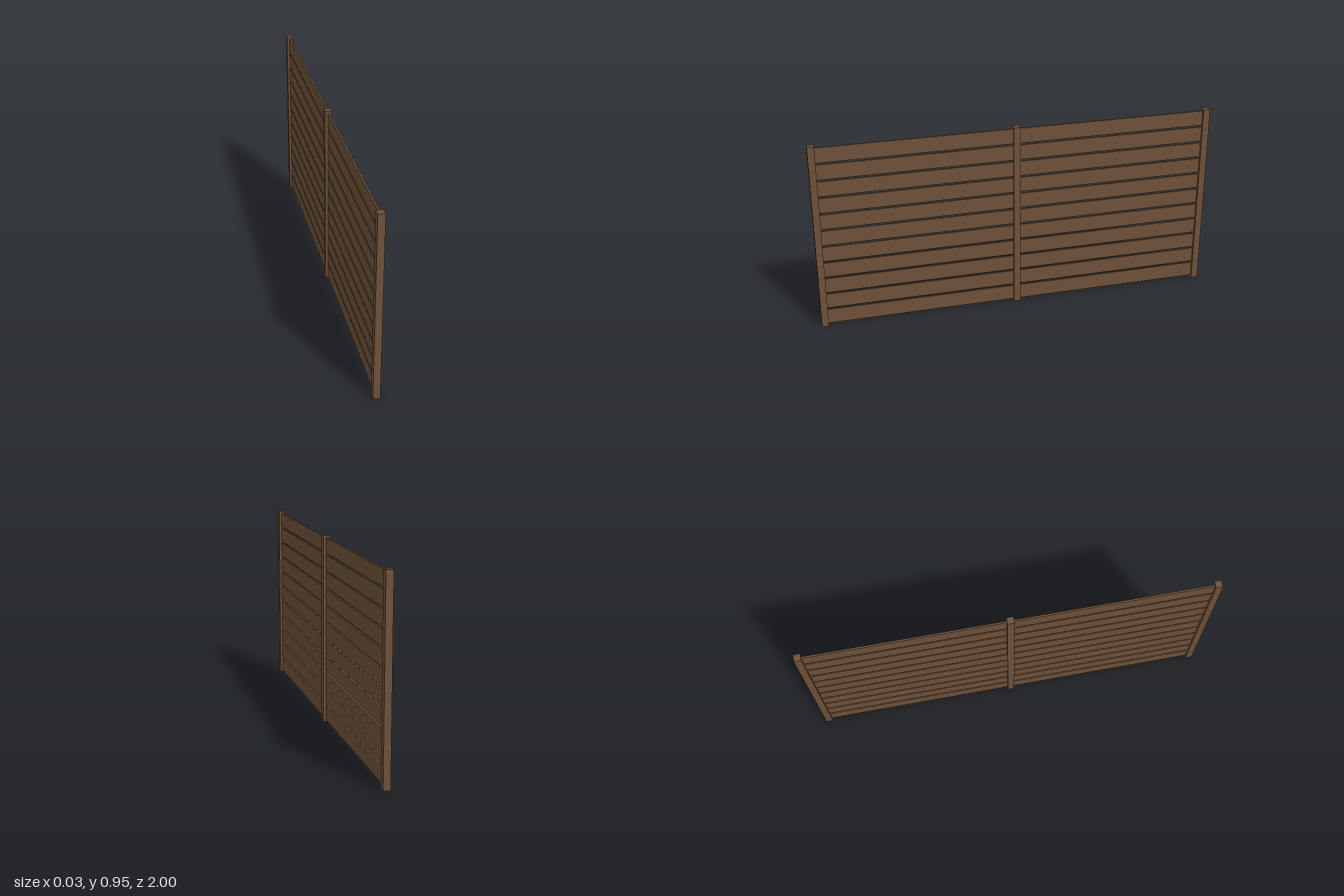
import * as THREE from 'three';

export function createModel() {
  const fence = new THREE.Group();
  fence.name = 'slatFence';

  const wood = new THREE.MeshStandardMaterial({ color: 0x6e5139 });
  wood.name = 'brownWood';

  const post = 0.034, height = 0.95;
  const slats = 11, slatHeight = 0.076, slatDepth = 0.009;
  const bottom = 0.01, top = 0.94;
  const pitch = (top - bottom - slatHeight) / (slats - 1);

  function addBox(parent, name, w, h, d, x, y, z) {
    const mesh = new THREE.Mesh(new THREE.BoxGeometry(w, h, d), wood);
    mesh.name = name;
    mesh.position.set(x, y, z);
    parent.add(mesh);
  }

  // Three square posts along z
  const end = 1 - post / 2;
  [['frontPost', end], ['middlePost', 0], ['backPost', -end]].forEach(([name, z]) =>
    addBox(fence, name, post, height, post, 0, height / 2, z));

  // Two panels of horizontal slats, fitted between the posts
  const length = end - post + 0.008;
  for (const side of [1, -1]) {
    const panel = new THREE.Group();
    panel.name = side > 0 ? 'frontPanel' : 'backPanel';
    for (let i = 0; i < slats; i++) {
      addBox(panel, 'slat', slatDepth, slatHeight, length,
        0, bottom + slatHeight / 2 + i * pitch, side * end / 2);
    }
    fence.add(panel);
  }
  return fence;
}
